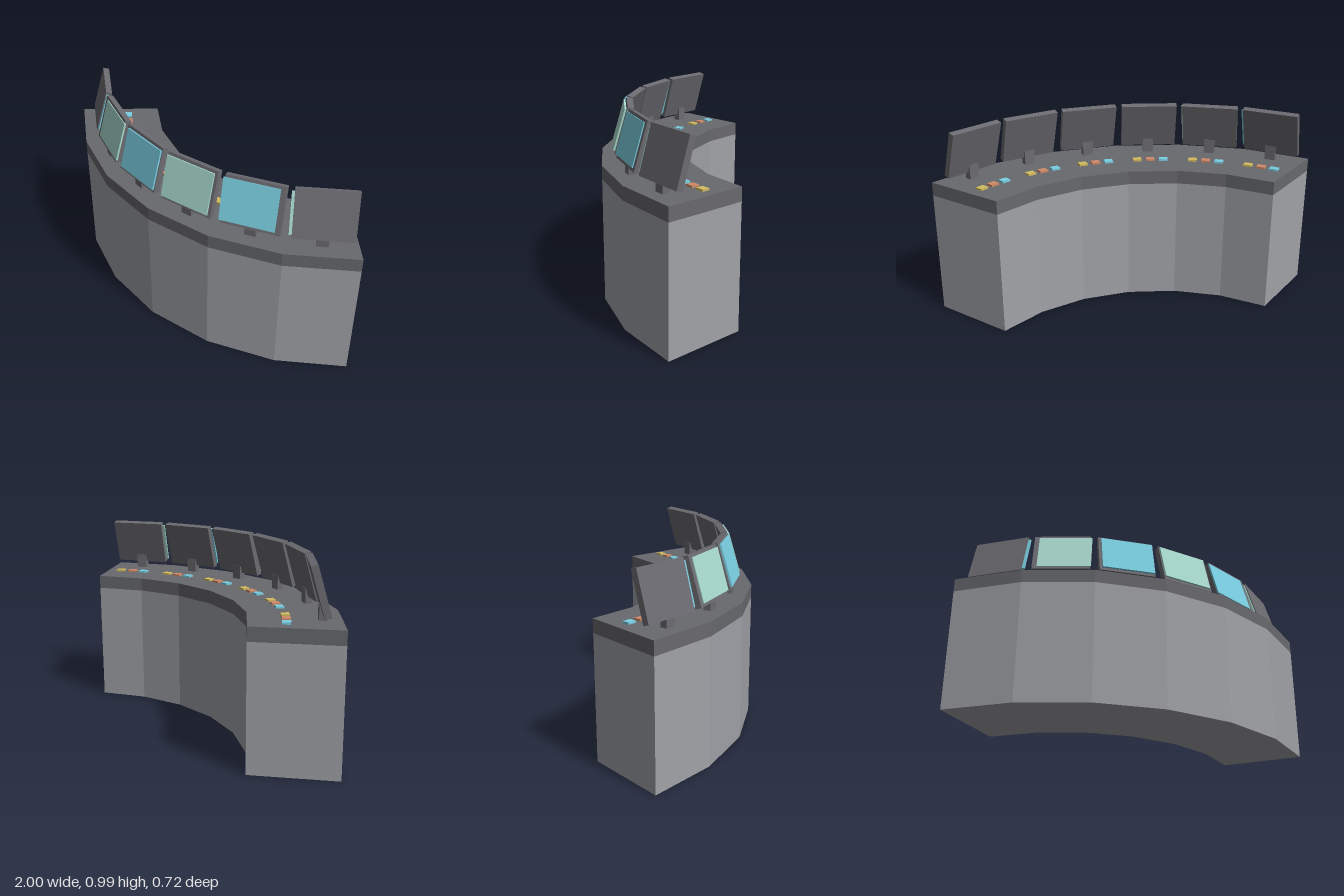
import * as THREE from 'three';

const ARC_Z = -1.05;            // centre of the desk's arc
const R_OUT = 1.414, R_IN = 0.976;
const STEP = Math.PI / 12;      // 15 degrees per facet, six facets
const TILT = -0.28;

const mat = (name, color) => {
  const m = new THREE.MeshStandardMaterial({ color });
  m.name = name;
  return m;
};

function add(parent, name, geometry, material, x = 0, y = 0, z = 0) {
  const mesh = new THREE.Mesh(geometry, material);
  mesh.name = name;
  mesh.position.set(x, y, z);
  parent.add(mesh);
  return mesh;
}

// Faceted arc footprint extruded from y0 to y1
function arcBlock(y0, y1) {
  const pts = [];
  for (let i = -3; i <= 3; i++) {
    pts.push(new THREE.Vector2(R_OUT * Math.sin(i * STEP), -ARC_Z - R_OUT * Math.cos(i * STEP)));
  }
  for (let i = 3; i >= -3; i--) {
    pts.push(new THREE.Vector2(R_IN * Math.sin(i * STEP), -ARC_Z - R_IN * Math.cos(i * STEP)));
  }
  const g = new THREE.ExtrudeGeometry(new THREE.Shape(pts), { depth: y1 - y0, bevelEnabled: false });
  return g.rotateX(-Math.PI / 2).translate(0, y0, 0);
}

export function createModel() {
  const root = new THREE.Group();
  root.name = 'controlDesk';

  const body = mat('light grey', 0xa0a2a7);
  const top = mat('dark grey', 0x68696e);
  const frame = mat('monitor grey', 0x6c6b71);
  const blue = mat('blue', 0x7acfe2);
  const green = mat('pale green', 0xa8dacd);
  const orange = mat('orange', 0xd08a68);
  const yellow = mat('yellow', 0xd2bb60);

  add(root, 'deskBody', arcBlock(0, 0.64), body);
  add(root, 'deskTop', arcBlock(0.64, 0.71), top);

  const frameGeo = new THREE.BoxGeometry(0.297, 0.246, 0.033);
  const screenGeo = new THREE.BoxGeometry(0.279, 0.216, 0.0095);
  const standGeo = new THREE.BoxGeometry(0.056, 0.08, 0.036);
  const buttonGeo = new THREE.BoxGeometry(0.045, 0.02, 0.04);

  // One workstation on each facet
  for (let i = 0; i < 6; i++) {
    const a = (i - 2.5) * STEP;
    const station = new THREE.Group();
    station.name = 'station' + (i + 1);
    station.position.z = ARC_Z;
    station.rotation.y = a;
    root.add(station);

    add(station, 'stand', standGeo, frame, 0, 0.745, 1.31);

    // Monitor leaning back; screens slip inward and sink towards the desk ends
    const monitor = new THREE.Group();
    monitor.name = 'monitor';
    monitor.position.set(0, 0.868, 1.288);
    monitor.rotation.x = TILT;
    station.add(monitor);
    add(monitor, 'monitorFrame', frameGeo, frame);
    const d = 0.024;
    add(monitor, 'screen', screenGeo, i % 2 ? green : blue, -Math.sin(2 * a) * d, 0, Math.cos(2 * a) * d);

    // Row of three buttons
    [blue, orange, yellow].forEach((m, k) => {
      const b = (k - 1) * 0.062;
      const button = add(station, 'button', buttonGeo, m, 1.147 * Math.sin(b), 0.71, 1.147 * Math.cos(b));
      button.rotation.y = b;
    });
  }
  return root;
}
